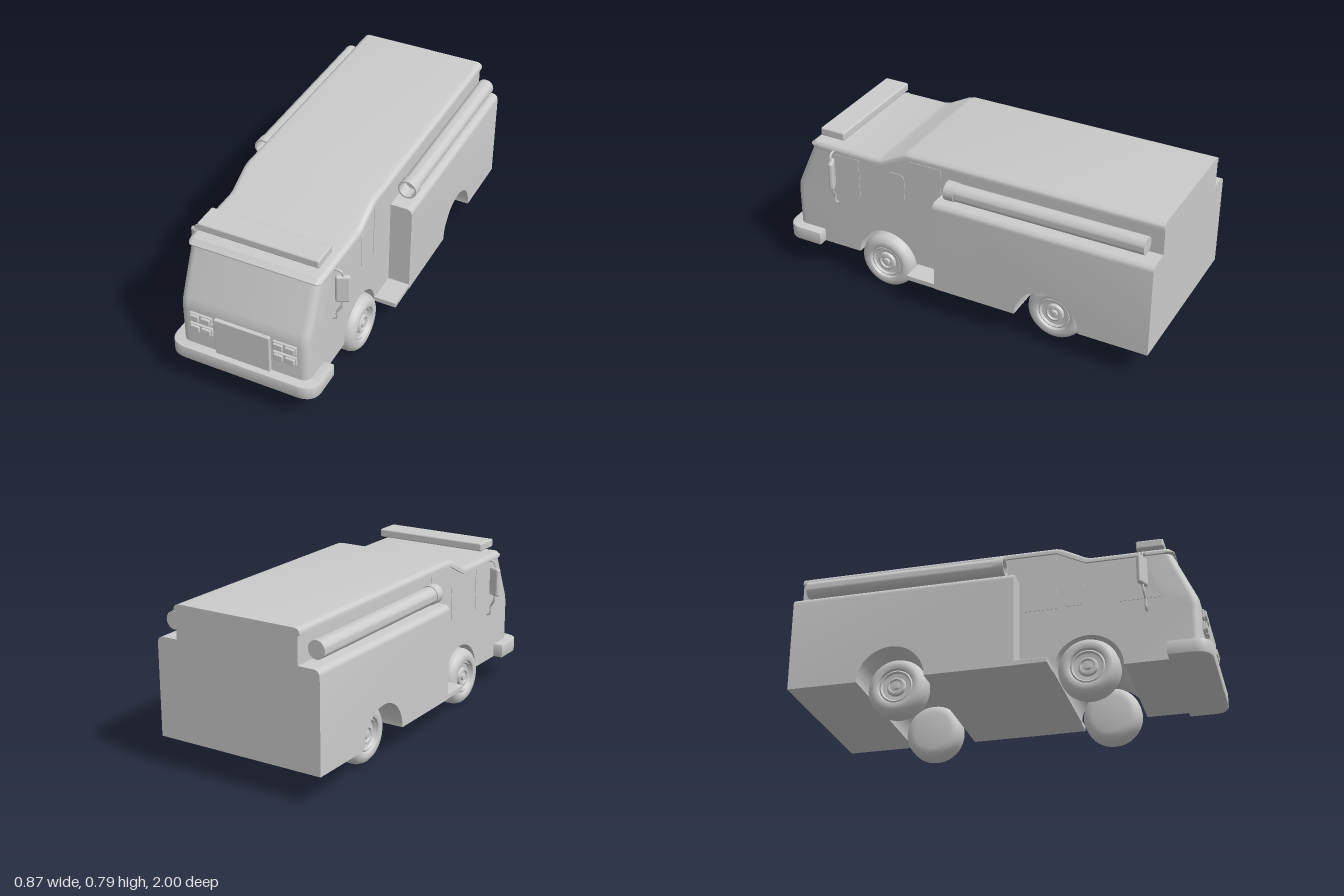
import * as THREE from 'three';
import { toCreasedNormals } from 'three/addons/utils/BufferGeometryUtils.js';
import { RoundedBoxGeometry } from 'three/addons/geometries/RoundedBoxGeometry.js';

const FRONT_AXLE = 0.43, REAR_AXLE = -0.49, FLOOR = 0.145, ARCH = 0.165;

export function createModel() {
  const root = new THREE.Group();
  const material = new THREE.MeshStandardMaterial({ color: 0xcccccc });

  const add = (name, geometry, x = 0, y = 0, z = 0, parent = root) => {
    const mesh = new THREE.Mesh(geometry, material);
    mesh.name = name;
    mesh.position.set(x, y, z);
    parent.add(mesh);
    return mesh;
  };
  const box = (w, h, d, r) => new RoundedBoxGeometry(w, h, d, 2, r);

  // Side profile from [z, y] points; a single number stands for a wheel arch at that z
  const sideShape = (points) => {
    const shape = new THREE.Shape();
    points.forEach((p, i) => {
      if (typeof p === 'number') {
        shape.lineTo(p + ARCH, FLOOR);
        shape.absarc(p, FLOOR, ARCH, 0, Math.PI, false);
      } else if (i === 0) shape.moveTo(...p);
      else shape.lineTo(...p);
    });
    return shape;
  };

  // Extrude a side profile across x, with extra slices near both sides.
  // rule(v, d) moves each vertex; d is the setback of a quarter round of radius r.
  const acrossBody = (points, halfWidth, r, rule) => {
    const slices = [];
    for (let i = 0; i <= 5; i++) {
      const a = (1 - i / 5) * Math.PI / 2;
      slices.push([halfWidth - r + r * Math.sin(a), r * (1 - Math.cos(a))]);
    }
    const all = [...slices, ...slices.map(([x, d]) => [-x, d]).reverse()];
    const steps = all.length - 1;
    const geometry = new THREE.ExtrudeGeometry(sideShape(points), {
      depth: 1, steps, bevelEnabled: false, curveSegments: 28,
    });
    const pos = geometry.attributes.position;
    const v = new THREE.Vector3();
    for (let i = 0; i < pos.count; i++) {
      v.fromBufferAttribute(pos, i);
      const [x, d] = all[Math.round(v.z * steps)];
      v.set(x, v.y, v.x);
      rule(v, d);
      pos.setXYZ(i, v.x, v.y, v.z);
    }
    return toCreasedNormals(geometry, 0.6);
  };

  // Cab and upper body, with rounded front corners
  add('cab', acrossBody([
    [0.955, FLOOR], FRONT_AXLE, [0.1, FLOOR], [0.1, 0.6], [-1, 0.6], [-1, 0.77],
    [0.295, 0.77], [0.43, 0.7], [0.836, 0.7], [0.94, 0.47], [0.95, 0.445], [0.955, 0.41],
  ], 0.325, 0.04, (v, d) => { if (v.z > 0.8) v.z -= d; }));

  // Wide equipment body with rounded upper edges
  add('equipmentBody', acrossBody([
    [0.105, FLOOR], REAR_AXLE, [-1, FLOOR], [-1, 0.625], [0.105, 0.625],
  ], 0.435, 0.03, (v, d) => { if (v.y > 0.6) v.y -= d; }));

  // Stepped roof skin, rounded along its sides and front corners
  add('roof', acrossBody([
    [-1, 0.757], [0.29, 0.757], [0.43, 0.687], [0.835, 0.687], [0.85, 0.693], [0.85, 0.699],
    [0.825, 0.718], [0.46, 0.718], [0.43, 0.724], [0.32, 0.782], [0.29, 0.79], [-1, 0.79],
  ], 0.335, 0.03, (v, d) => {
    const middle = 0.702 + 0.07 * THREE.MathUtils.clamp((0.435 - v.z) / 0.145, 0, 1);
    if (v.y > middle) v.y -= 0.7 * d;
    if (v.z > 0.8) v.z -= 1.5 * d;
  }));

  add('lightBar', box(0.605, 0.042, 0.132, 0.008), 0, 0.765, 0.733);

  // Bumper wrapping the front corners
  const plan = new THREE.Shape();
  plan.moveTo(0.37, 0.805);
  plan.lineTo(0.37, 0.925);
  plan.quadraticCurveTo(0.365, 0.995, 0.285, 0.995);
  plan.lineTo(-0.285, 0.995);
  plan.quadraticCurveTo(-0.365, 0.995, -0.37, 0.925);
  plan.lineTo(-0.37, 0.805);
  plan.lineTo(-0.315, 0.805);
  plan.lineTo(-0.315, 0.9);
  plan.lineTo(0.315, 0.9);
  plan.lineTo(0.315, 0.805);
  const bumper = new THREE.ExtrudeGeometry(plan, {
    depth: 0.06, bevelSize: 0.005, bevelThickness: 0.005, bevelSegments: 2,
  });
  bumper.rotateX(Math.PI / 2);
  add('bumper', toCreasedNormals(bumper, 0.6), 0, 0.21, 0);

  // Front panel
  add('frontPanel', box(0.28, 0.2, 0.03, 0.004), 0, 0.315, 0.957);

  // Wheel turned around its axle: inner face, tread, outer wall, rim and hub
  const lathe = (points, segments) => toCreasedNormals(new THREE.LatheGeometry(
    points.map(([r, h]) => new THREE.Vector2(r, h)), segments), 0.6);
  const wheel = lathe([
    [0, -0.065], [0.095, -0.065], [0.12, -0.06], [0.136, -0.046], [0.144, -0.028], [0.145, 0],
    [0.144, 0.028], [0.136, 0.048], [0.12, 0.063], [0.1, 0.067], [0.087, 0.063],
    [0.082, 0.05], [0.075, 0.054], [0.068, 0.044], [0.048, 0.042], [0.044, 0.055],
    [0.035, 0.057], [0.031, 0.048], [0.018, 0.048], [0.016, 0.06], [0, 0.062],
  ], 40);
  wheel.rotateZ(-Math.PI / 2);

  // Suction hose tube with a collar and an open front
  const hose = lathe([
    [0, -0.945], [0.043, -0.945], [0.043, 0], [0.047, 0], [0.047, 0.05],
    [0.039, 0.05], [0.039, -0.02], [0, -0.02],
  ], 28);
  hose.rotateX(Math.PI / 2);

  // Thin window and door panels on the cab sides
  const sidePanel = (shape) => {
    const g = new THREE.ExtrudeGeometry(shape, { depth: 0.008, bevelEnabled: false });
    g.translate(0, 0, -0.004);
    g.rotateY(-Math.PI / 2);
    return g;
  };
  const frontWindow = sidePanel(sideShape([
    [0.575, 0.465], [0.575, 0.675], [0.705, 0.675], [0.79, 0.465],
  ]));
  const door = sidePanel(sideShape([[0.12, 0.465], [0.12, 0.745], [0.29, 0.745], [0.29, 0.465]]));
  const slot = new THREE.Shape();
  slot.moveTo(0.35, 0.47);
  slot.lineTo(0.39, 0.47);
  slot.quadraticCurveTo(0.42, 0.47, 0.42, 0.5);
  slot.lineTo(0.42, 0.63);
  slot.quadraticCurveTo(0.42, 0.66, 0.39, 0.66);
  slot.lineTo(0.35, 0.66);
  slot.quadraticCurveTo(0.32, 0.66, 0.32, 0.63);
  slot.lineTo(0.32, 0.5);
  slot.quadraticCurveTo(0.32, 0.47, 0.35, 0.47);
  const rearWindow = sidePanel(slot);

  const armTube = (points) => new THREE.TubeGeometry(new THREE.CatmullRomCurve3(
    points.map((p) => new THREE.Vector3(...p)), false, 'catmullrom', 0.3), 28, 0.006, 8);

  for (const s of [1, -1]) {
    const side = s > 0 ? 'left' : 'right';

    for (const [end, z] of [['Front', FRONT_AXLE], ['Rear', REAR_AXLE]]) {
      const w = add(`${side}${end}Wheel`, wheel, s * 0.291, 0.145, z);
      if (s < 0) w.rotation.y = Math.PI;
    }

    add(`${side}HoseTube`, hose, s * 0.382, 0.69, 0);
    add(`${side}Step`, box(0.13, 0.027, 0.16, 0.003), s * 0.369, 0.1585, 0.181);
    add(`${side}FrontWindow`, frontWindow, s * 0.3235);
    add(`${side}RearWindow`, rearWindow, s * 0.3235);
    add(`${side}Door`, door, s * 0.3235);

    // Headlight pairs in two stacked frames
    for (const y of [0.383, 0.322]) {
      add(`${side}HeadlightFrame`, box(0.117, 0.047, 0.02, 0.004), s * 0.213, y, 0.956);
      for (const x of [0.184, 0.242]) {
        add(`${side}Headlight`, box(0.048, 0.036, 0.024, 0.006), s * x, y, 0.964);
      }
    }

    // Mirror with upper and lower arms
    const mirror = add(`${side}Mirror`, box(0.068, 0.147, 0.026, 0.011), s * 0.37, 0.588, 0.702);
    mirror.rotation.y = s * 0.45;
    add(`${side}MirrorUpperArm`, armTube([
      [s * 0.31, 0.692, 0.71], [s * 0.35, 0.692, 0.71], [s * 0.368, 0.682, 0.707], [s * 0.372, 0.65, 0.702],
    ]));
    add(`${side}MirrorLowerArm`, armTube([
      [s * 0.37, 0.52, 0.702], [s * 0.367, 0.485, 0.706], [s * 0.346, 0.45, 0.71],
      [s * 0.344, 0.412, 0.71], [s * 0.318, 0.4, 0.71],
    ]));
  }
  return root;
}
